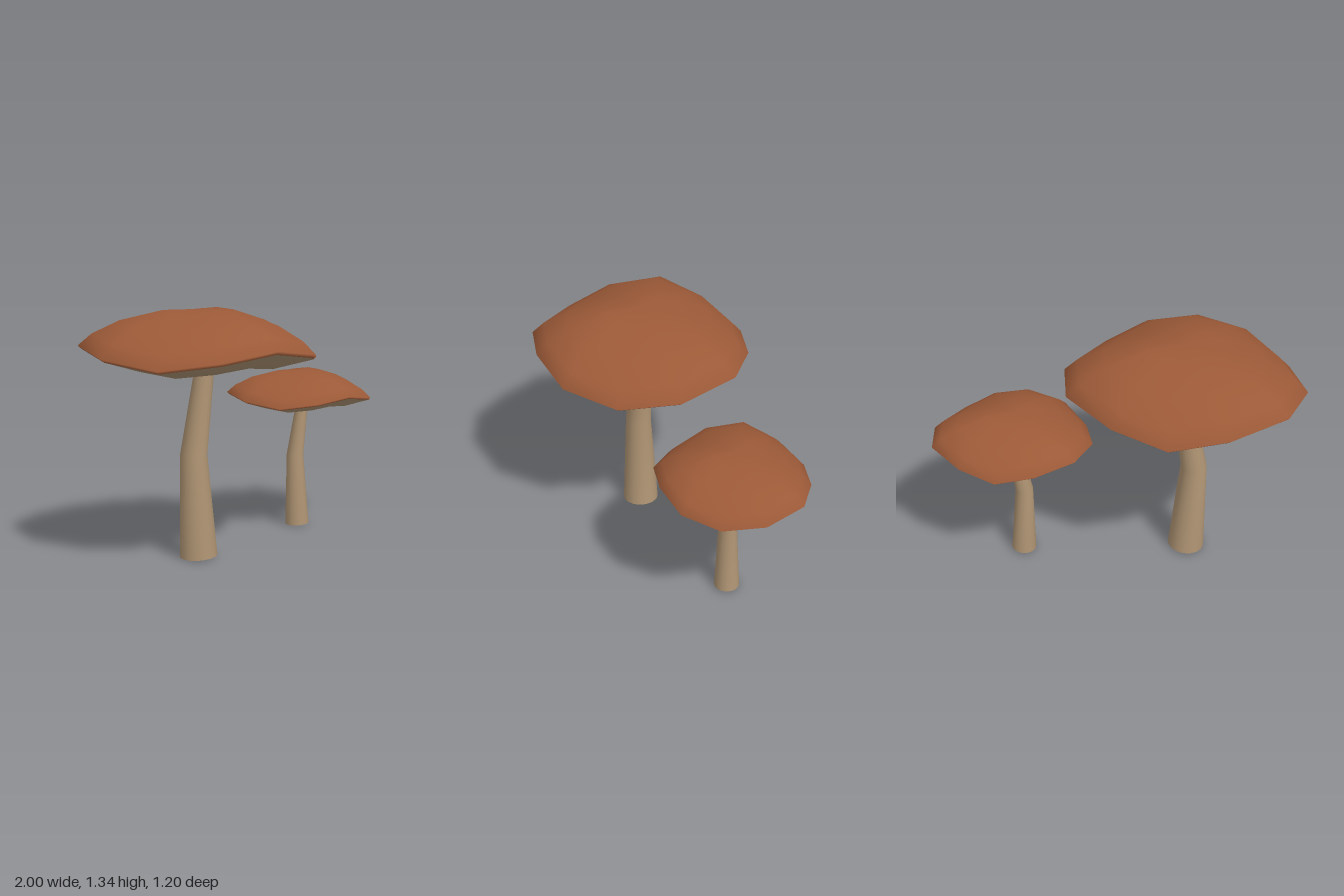
import * as THREE from 'three';
import { mergeVertices } from 'three/addons/utils/BufferGeometryUtils.js';

// Cap radius every 30 degrees, from the front round to the back (mirrored in x)
const RADII = [0.597, 0.624, 0.62, 0.652, 0.66, 0.6, 0.6];

// Share vertices across seams so the shading is smooth
function smooth(geometry) {
  geometry.deleteAttribute('normal');
  geometry.deleteAttribute('uv');
  const merged = mergeVertices(geometry, 1e-4);
  merged.computeVertexNormals();
  return merged;
}

// Twelve-sided surface from [radius fraction, height] pairs, with a three-lobed wave at the rim
function wavySurface(profile) {
  const geometry = new THREE.LatheGeometry(profile.map(([t, y]) => new THREE.Vector2(t, y)), 12);
  const pos = geometry.attributes.position;
  for (let i = 0; i < pos.count; i++) {
    const x = pos.getX(i), z = pos.getZ(i);
    const t = Math.hypot(x, z);
    if (t < 1e-6) { pos.setXYZ(i, 0, pos.getY(i), 0); continue; }
    const k = Math.round(Math.abs(Math.atan2(x, z)) / (Math.PI / 6));
    const wave = -0.043 * Math.pow(t, 1.5) * Math.sin(3 * Math.atan2(z, x));
    pos.setXYZ(i, x * RADII[k], pos.getY(i) + wave, z * RADII[k]);
  }
  return smooth(geometry);
}

// Bent, tapering stem through rings of { x, y, r, tilt }
function stemGeometry(rings) {
  const sides = 16;
  const geometry = new THREE.CylinderGeometry(1, 1, 1, sides, rings.length - 1, true);
  const pos = geometry.attributes.position;
  for (let i = 0; i < pos.count; i++) {
    const ring = rings[rings.length - 1 - Math.floor(i / (sides + 1))];
    const dx = pos.getX(i) * ring.r;
    pos.setXYZ(i, ring.x + dx, ring.y + dx * ring.tilt, pos.getZ(i) * ring.r);
  }
  return smooth(geometry);
}

export function createModel() {
  const capBrown = new THREE.MeshStandardMaterial({ color: 0x9c5a38 });
  capBrown.name = 'capBrown';
  const stemBeige = new THREE.MeshStandardMaterial({ color: 0xb09574 });
  stemBeige.name = 'stemBeige';

  const capTop = wavySurface([[0.97, -0.004], [1, 0.012], [0.89, 0.08], [0.667, 0.16], [0.32, 0.226], [0, 0.237]]);
  const capUnder = wavySurface([[0, -0.03], [0.18, -0.035], [0.62, -0.07], [0.97, -0.004]]);

  function mushroom(name, scale, capY, bendY) {
    const group = new THREE.Group();
    group.name = name;
    const add = (part, geometry, material) => {
      const mesh = new THREE.Mesh(geometry, material);
      mesh.name = part;
      group.add(mesh);
      return mesh;
    };

    // Cap and its pale underside
    for (const mesh of [add('capTop', capTop, capBrown), add('capUnderside', capUnder, stemBeige)]) {
      mesh.scale.setScalar(scale);
      mesh.position.y = capY;
    }

    // Stem with a bend and a flare under the cap
    const base = { x: -0.04 * scale, y: 0.008, r: 0.103 * scale, tilt: 0.07 };
    add('stem', stemGeometry([
      base,
      { x: -0.068 * scale, y: bendY, r: 0.073 * scale, tilt: 0 },
      { x: 0.002 * scale, y: capY - 0.12 * scale, r: 0.055 * scale, tilt: 0 },
      { x: 0.002 * scale, y: capY - 0.02 * scale, r: 0.088 * scale, tilt: 0 },
    ]), stemBeige);

    // Flat end of the stem
    const foot = add('stemBase', new THREE.CircleGeometry(base.r, 16).rotateX(Math.PI / 2), stemBeige);
    foot.position.set(base.x, base.y, 0);
    foot.rotation.z = Math.atan(base.tilt);
    return group;
  }

  const model = new THREE.Group();
  model.name = 'mushrooms';
  const large = mushroom('largeMushroom', 1, 1.105, 0.57);
  large.position.set(-0.348, 0, 0);
  const small = mushroom('smallMushroom', 0.678, 0.774, 0.43);
  small.position.set(0.556, 0, -0.194);
  model.add(large, small);
  return model;
}
